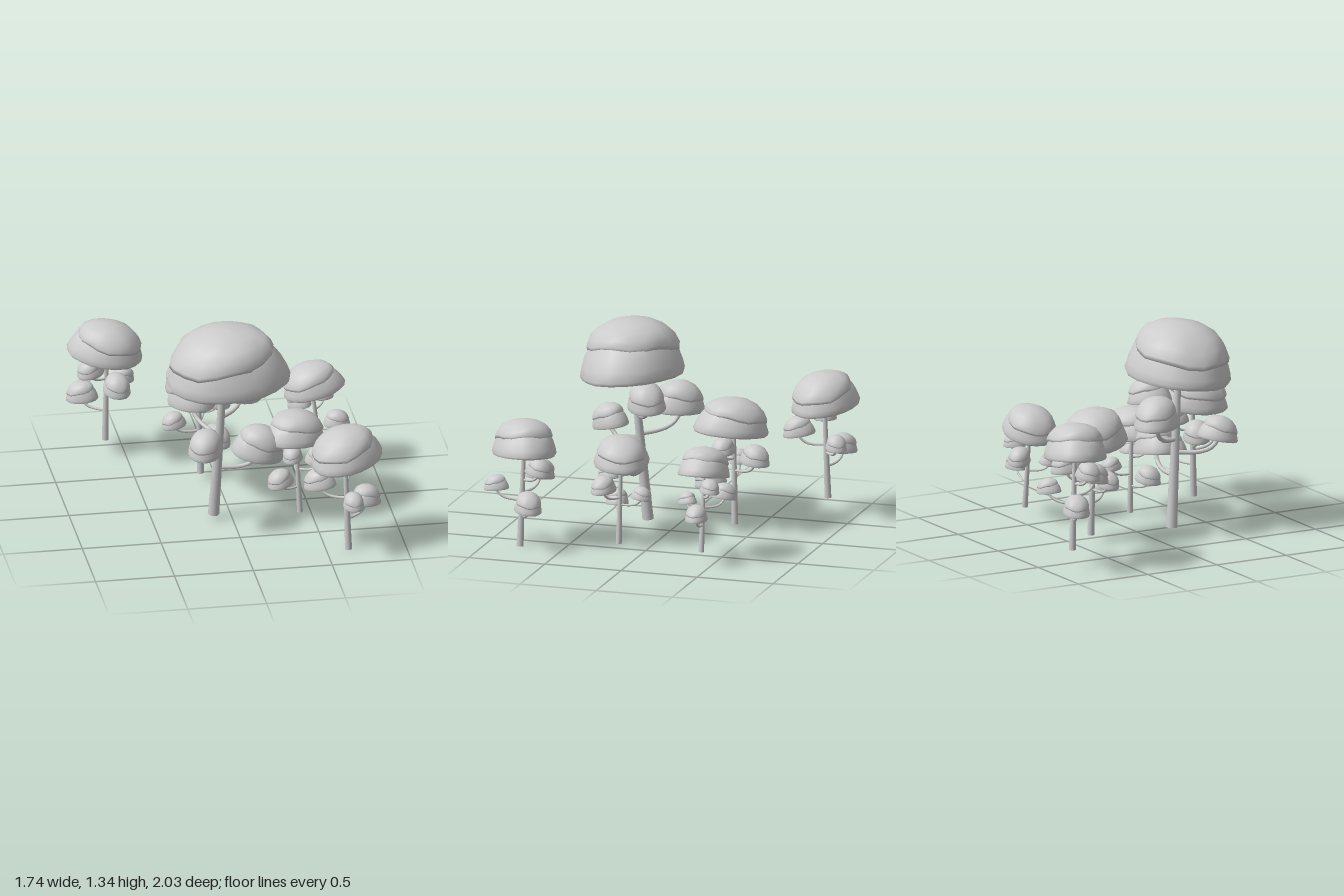
import * as THREE from 'three';

const material = new THREE.MeshStandardMaterial({ color: 0xcccccc });
const SIDES = 18;

// Smooth skin through oval rings: [radius along, radius across, centre along, height, slope]
function loft(rows) {
  const pos = [], idx = [];
  rows.forEach(([ru, rv, c, y, slope], r) => {
    for (let i = 0; i < SIDES; i++) {
      const a = (i / SIDES) * Math.PI * 2;
      const wobble = 1 + 0.015 * Math.sin(3 * a + 1) + 0.012 * Math.sin(7 * a);
      const u = c + ru * wobble * Math.cos(a);
      const ragged = ru > 0.17 && ru < 0.21 ? 0.006 * Math.sin(5 * a + 0.6) : 0;
      pos.push(u, y + slope * u + ragged, rv * wobble * Math.sin(a));
      if (r + 1 < rows.length) {
        const j = (i + 1) % SIDES, b = r * SIDES, t = b + SIDES;
        idx.push(b + i, t + i, b + j, b + j, t + i, t + j);
      }
    }
  });
  const geometry = new THREE.BufferGeometry();
  geometry.setAttribute('position', new THREE.Float32BufferAttribute(pos, 3));
  geometry.setIndex(idx);
  geometry.computeVertexNormals();
  return geometry;
}

const crownParts = {
  underside: loft([
    [0.001, 0.001, 0.01, 0.035, 0.1],
    [0.13, 0.11, 0.012, 0.025, 0.1],
    [0.2, 0.165, 0.014, 0.004, 0.1],
    [0.232, 0.19, 0.015, 0, 0.1],
  ]),
  skirt: loft([
    [0.232, 0.19, 0.015, 0, 0.1],
    [0.24, 0.197, 0.015, 0.014, 0.1],
    [0.229, 0.192, 0.01, 0.045, 0.13],
    [0.21, 0.18, 0, 0.085, 0.18],
    [0.188, 0.165, -0.012, 0.118, 0.21],
  ]),
  cap: loft([
    [0.18, 0.16, -0.016, 0.1, 0.21],
    [0.198, 0.176, -0.018, 0.106, 0.21],
    [0.199, 0.178, -0.018, 0.122, 0.2],
    [0.183, 0.164, -0.014, 0.155, 0.16],
    [0.15, 0.136, -0.006, 0.188, 0.11],
    [0.1, 0.09, 0.002, 0.212, 0.06],
    [0.05, 0.045, 0.008, 0.223, 0.03],
    [0.001, 0.001, 0.01, 0.226, 0],
  ]),
};

function add(parent, name, geometry) {
  const mesh = new THREE.Mesh(geometry, material);
  mesh.name = name;
  parent.add(mesh);
  return mesh;
}

function crown(name, angle) {
  const group = new THREE.Group();
  group.name = name;
  group.rotation.y = -angle;
  for (const [part, geometry] of Object.entries(crownParts)) add(group, part, geometry);
  return group;
}

const rad = THREE.MathUtils.degToRad;

// Branches: direction in degrees, reach, crown height, crown size, height on trunk
const branches = [
  [77, 0.172, 0.41, 0.43, 0.345],
  [203, 0.16, 0.262, 0.43, 0.205],
  [319, 0.168, 0.35, 0.33, 0.295],
  [162, 0.118, 0.475, 0.37, 0.425],
];

function tree(name) {
  const group = new THREE.Group();
  group.name = name;

  const trunk = new THREE.CylinderGeometry(0.012, 0.022, 0.63, 12);
  trunk.translate(0, 0.315, 0);
  add(group, 'trunk', trunk);

  const top = crown('mainCrown', rad(203));
  top.position.y = 0.585;
  group.add(top);

  for (const [deg, reach, height, size, start] of branches) {
    const a = rad(deg);
    const at = (d, y) => new THREE.Vector3(Math.cos(a) * d, y, Math.sin(a) * d);
    const path = new THREE.CubicBezierCurve3(
      at(0, start), at(reach * 0.6, start - 0.005),
      at(reach * 0.95, start + 0.01), at(reach, height + 0.02));
    add(group, 'branch', new THREE.TubeGeometry(path, 10, 0.0085, 8));
    const small = crown('branchCrown', a + Math.PI);
    small.position.copy(at(reach, height));
    small.scale.set(size, size * 1.25, size);
    group.add(small);
  }
  return group;
}

// Grove: base position, size, turn in degrees, lean along x and z
const grove = [
  [-0.63, 0.12, -0.83, 1, 0, 0.01, 0.035],
  [-0.115, 0.03, 0.185, 1.62, 160, 0.053, 0.08],
  [0.43, 0.01, 0.2, 0.85, -48, -0.05, -0.01],
  [0.64, 0, 0.78, 1.01, 125, -0.03, -0.03],
  [0.67, 0.07, -0.42, 0.82, 157, -0.12, 0],
  [-0.1, 0.05, -0.39, 1, -145, -0.03, 0.02],
];

export function createModel() {
  const model = new THREE.Group();
  model.name = 'treeGrove';
  const up = new THREE.Vector3(0, 1, 0);
  grove.forEach(([x, y, z, size, turn, leanX, leanZ], i) => {
    const t = tree('tree' + (i + 1));
    t.position.set(x, y, z);
    t.scale.setScalar(size);
    const lean = new THREE.Vector3(leanX, 1, leanZ).normalize();
    t.quaternion.setFromUnitVectors(up, lean)
      .multiply(new THREE.Quaternion().setFromAxisAngle(up, -rad(turn)));
    model.add(t);
  });
  return model;
}
